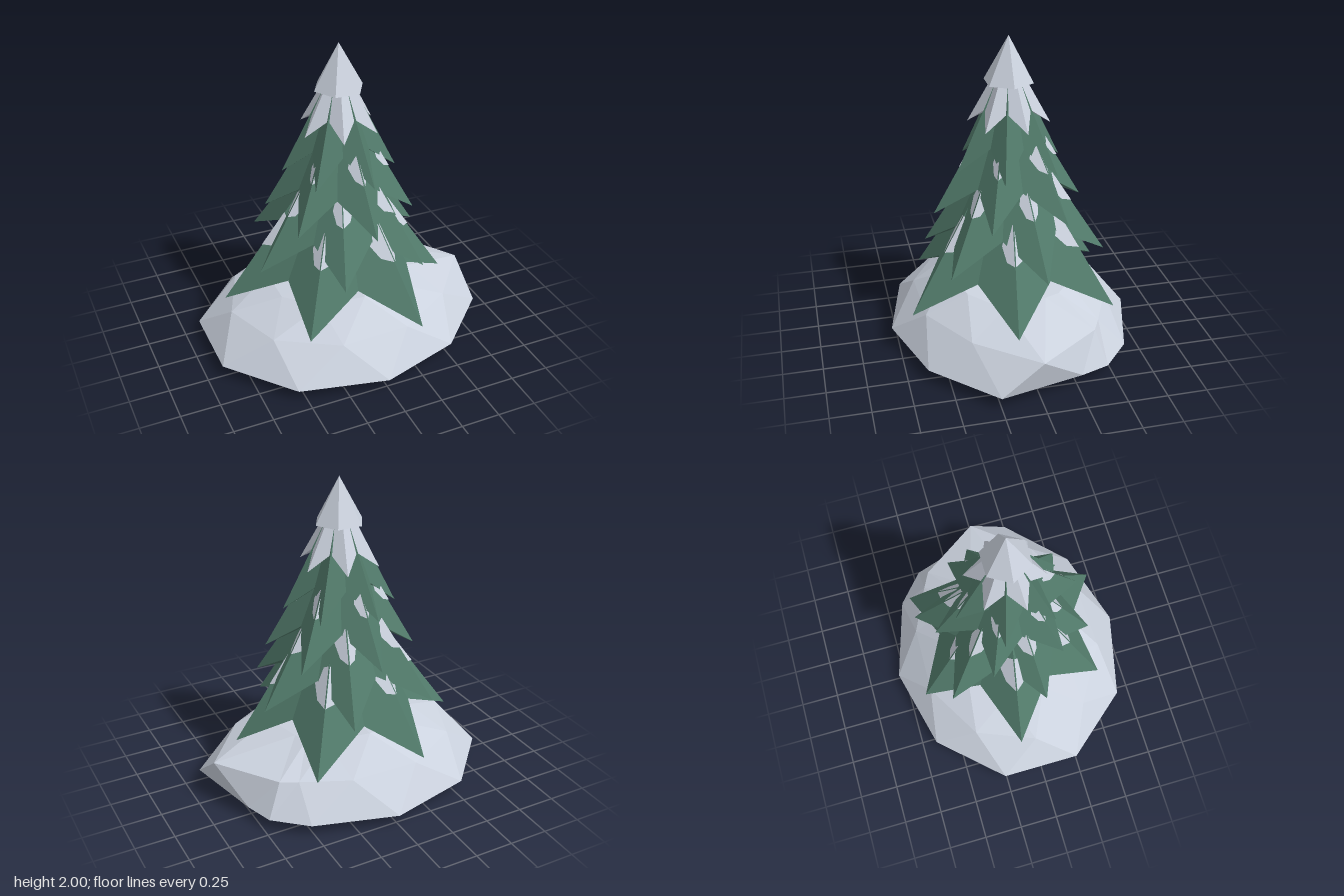
import * as THREE from 'three';

const snow = new THREE.MeshStandardMaterial({ color: 0xcbd2de });
snow.name = 'snow';
const needles = new THREE.MeshStandardMaterial({ color: 0x527b6b, side: THREE.DoubleSide });
needles.name = 'needleGreen';

const V = (x, y, z) => new THREE.Vector3(x, y, z);
const polar = (deg, r, y) => {
  const a = THREE.MathUtils.degToRad(deg);
  return V(Math.cos(a) * r, y, Math.sin(a) * r);
};

// faceted mesh from a flat list of triangle corners
function facets(name, corners, material) {
  const g = new THREE.BufferGeometry().setFromPoints(corners);
  g.computeVertexNormals();
  const mesh = new THREE.Mesh(g, material);
  mesh.name = name;
  return mesh;
}

// corners of a six-pointed star cone: ridges run to the tips, grooves to the valleys
function starPoints({ turn, radii, tipY, valleyR, valleyY, apexY }) {
  return {
    apex: V(0, apexY, 0),
    tips: radii.map((r, i) => polar(turn + i * 60, r, tipY)),
    valleys: radii.map((r, i) => polar(turn + 30 + i * 60, valleyR, valleyY)),
  };
}

function starCone(name, spec, material) {
  const { apex, tips, valleys } = starPoints(spec);
  const hub = V(0, spec.valleyY + 0.04, 0);
  const tris = [];
  tips.forEach((tip, i) => {
    const v = valleys[i], next = tips[(i + 1) % 6];
    tris.push(tip, apex, v, v, apex, next); // upper faces
    tris.push(tip, v, hub, v, next, hub); // underside
  });
  return facets(name, tris, material);
}

// thin snow patches folded over each ridge, with a ragged outline
function ridgePatches(name, spec, from, to) {
  const { apex, tips, valleys } = starPoints(spec);
  const tris = [];
  tips.forEach((tip, i) => {
    for (const side of [1, -1]) {
      const v = valleys[(i + (side > 0 ? 0 : 5)) % 6];
      const normal = apex.clone().sub(tip).cross(v.clone().sub(tip)).normalize().multiplyScalar(side * 0.007);
      const on = (k, w) => tip.clone().lerp(v, w).lerp(apex, from + (to - from) * k).add(normal);
      const wide = (i + (side > 0 ? 0 : 1)) % 2 ? 0.6 : 0.48;
      const rim = [on(0, 0), on(1, 0), on(0.65, wide * 0.7), on(0.1, wide), on(-0.15, wide * 0.6)];
      for (let k = 1; k < 4; k++) {
        if (side > 0) tris.push(rim[0], rim[k], rim[k + 1]);
        else tris.push(rim[0], rim[k + 1], rim[k]);
      }
    }
  });
  return facets(name, tris, snow);
}

// irregular faceted mound under the tree
function snowMound() {
  const outline = [[0.78, -0.28], [0.9, 0.25], [0.52, 0.625], [0, 0.785], [-0.55, 0.66], [-0.9, 0.25],
    [-0.9, -0.26], [-0.54, -0.655], [0, -0.79], [0.52, -0.635], [0.72, -0.46]];
  const n = outline.length;
  const rim = outline.map(([x, z]) => V(x, 0.074, z));
  const ring = (scale, y) => rim.map((p, i) => {
    const q = rim[(i + 1) % n];
    return V((p.x + q.x) / 2 * scale, y, (p.z + q.z) / 2 * scale);
  });
  const shoulder = ring(0.83, 0.28);
  shoulder[0].set(0.89, 0.275, -0.01);
  shoulder[10].set(0.62, 0.28, -0.4);
  const crown = rim.map((p) => V(p.x * 0.5, 0.455 - 0.06 * Math.abs(p.x), p.z * 0.52));
  const sole = ring(0.62, 0.026);
  const top = V(0, 0.465, 0), bottom = V(0, 0.022, 0);
  const tris = [];
  for (let i = 0; i < n; i++) {
    const j = (i + 1) % n;
    tris.push(rim[i], shoulder[i], rim[j], rim[j], shoulder[i], shoulder[j]);
    tris.push(shoulder[i], crown[j], shoulder[j], shoulder[i], crown[i], crown[j]);
    tris.push(crown[i], top, crown[j]);
    tris.push(rim[i], rim[j], sole[i], rim[j], sole[j], sole[i]);
    tris.push(sole[i], sole[j], bottom);
  }
  return facets('snowMound', tris, snow);
}

export function createModel() {
  const tree = new THREE.Group();
  tree.name = 'snowyTree';
  tree.add(snowMound());

  // hollow trunk
  const trunkGeo = new THREE.CylinderGeometry(0.12, 0.12, 0.62, 8, 1, true).toNonIndexed();
  trunkGeo.computeVertexNormals();
  const trunk = new THREE.Mesh(trunkGeo, needles);
  trunk.name = 'trunk';
  trunk.position.y = 0.31;
  tree.add(trunk);

  // branch tiers from the lowest up, with the patch span along each ridge
  const tiers = [
    { turn: 8, radii: [0.7, 0.73, 0.68, 0.76, 0.69, 0.73], tipY: 0.325, valleyR: 0.45, valleyY: 0.54, apexY: 1.4, patch: [0.34, 0.54] },
    { turn: -11, radii: [0.59, 0.59, 0.55, 0.59, 0.63, 0.61], tipY: 0.61, valleyR: 0.36, valleyY: 0.81, apexY: 1.53, patch: [0.36, 0.56] },
    { turn: 25, radii: [0.47, 0.49, 0.47, 0.47, 0.48, 0.49], tipY: 0.9, valleyR: 0.28, valleyY: 1.09, apexY: 1.74, patch: [0.35, 0.54] },
    { turn: 16, radii: Array(6).fill(0.355), tipY: 1.175, valleyR: 0.2, valleyY: 1.34, apexY: 1.9 },
  ];
  tiers.forEach((t, i) => {
    tree.add(starCone('branchTier' + (i + 1), t, needles));
    if (t.patch) tree.add(ridgePatches('snowPatches' + (i + 1), t, ...t.patch));
  });

  // snow collar lying between the ridges of the top tier
  tree.add(starCone('snowCollar', {
    turn: 46, radii: Array(6).fill(0.255), tipY: 1.455, valleyR: 0.158, valleyY: 1.56, apexY: 1.92,
  }, snow));

  // pointed snow cap
  const capGeo = new THREE.ConeGeometry(0.158, 0.285, 6).toNonIndexed();
  capGeo.rotateY(Math.PI / 2);
  capGeo.computeVertexNormals();
  const cap = new THREE.Mesh(capGeo, snow);
  cap.name = 'snowCap';
  cap.position.y = 2 - 0.285 / 2;
  tree.add(cap);

  return tree;
}
